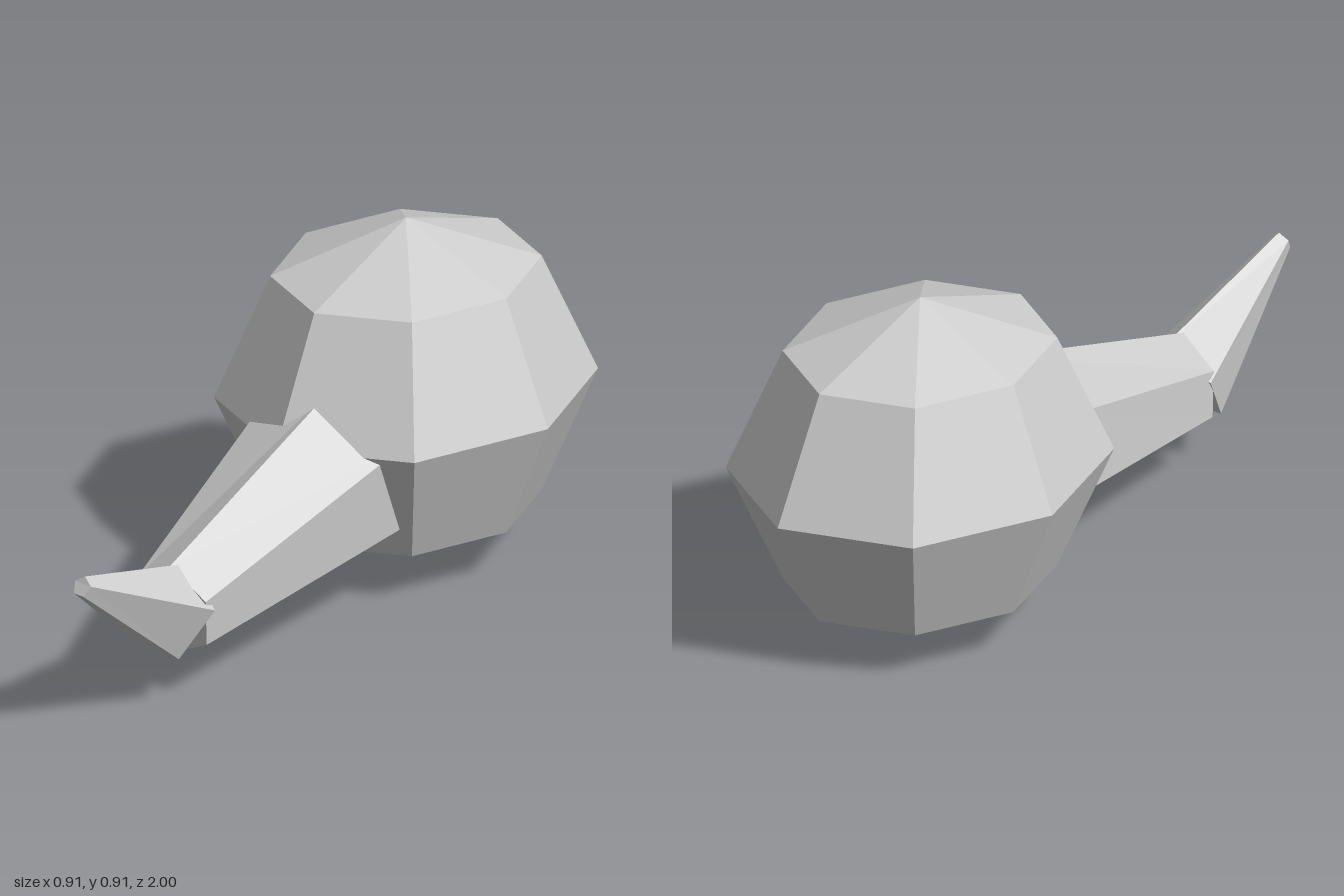
import * as THREE from 'three';

// Closed, faceted loft between two rings of corners (counter-clockwise seen from +z)
function loft(back, front) {
  const n = back.length;
  const pos = [];
  const tri = (...corners) => corners.forEach((c) => pos.push(...c));
  for (let i = 0; i < n; i++) {
    const j = (i + 1) % n;
    tri(back[i], back[j], front[j]);
    tri(back[i], front[j], front[i]);
  }
  for (let i = 1; i < n - 1; i++) {
    tri(front[0], front[i], front[i + 1]);
    tri(back[0], back[i + 1], back[i]);
  }
  const geometry = new THREE.BufferGeometry();
  geometry.setAttribute('position', new THREE.Float32BufferAttribute(pos, 3));
  geometry.computeVertexNormals();
  return geometry;
}

export function createModel() {
  const model = new THREE.Group();
  model.name = 'model';
  const grey = new THREE.MeshStandardMaterial({ color: 0xcccccc, flatShading: true });
  grey.name = 'grey';

  const add = (name, geometry) => {
    const mesh = new THREE.Mesh(geometry, grey);
    mesh.name = name;
    model.add(mesh);
    return mesh;
  };

  // Round low-poly body, stretched from front to back
  const body = add('body', new THREE.SphereGeometry(1, 8, 4));
  body.scale.set(0.453, 0.453, 0.52);
  body.position.set(0, 0.455, -0.48);

  // Six-sided tapering neck; its root is carried on into the body
  const neckRoot = [
    [0.235, 0.437, -0.08], [0.06, 0.556, -0.03], [-0.142, 0.465, -0.03],
    [-0.18, 0.26, -0.13], [0.01, 0.13, -0.12], [0.222, 0.222, -0.18],
  ];
  const neckEnd = [
    [0.204, 0.285, 0.578], [0.1, 0.36, 0.588], [-0.012, 0.295, 0.58],
    [-0.022, 0.175, 0.565], [0.078, 0.105, 0.56], [0.195, 0.16, 0.562],
  ];
  const buried = neckRoot.map((p, i) => p.map((v, k) => v + (v - neckEnd[i][k]) * 0.15));
  add('neck', loft(buried, neckEnd));

  // Five-sided pointed tip, tilted upwards
  const tipRoot = [
    [0.216, 0.258, 0.555], [0.105, 0.342, 0.515], [-0.025, 0.275, 0.555],
    [0.01, 0.148, 0.63], [0.16, 0.135, 0.63],
  ];
  const tipEnd = [
    [0.162, 0.46, 0.985], [0.138, 0.479, 0.978], [0.112, 0.463, 0.985],
    [0.12, 0.436, 1.0], [0.151, 0.434, 1.0],
  ];
  add('tip', loft(tipRoot, tipEnd));

  return model;
}
